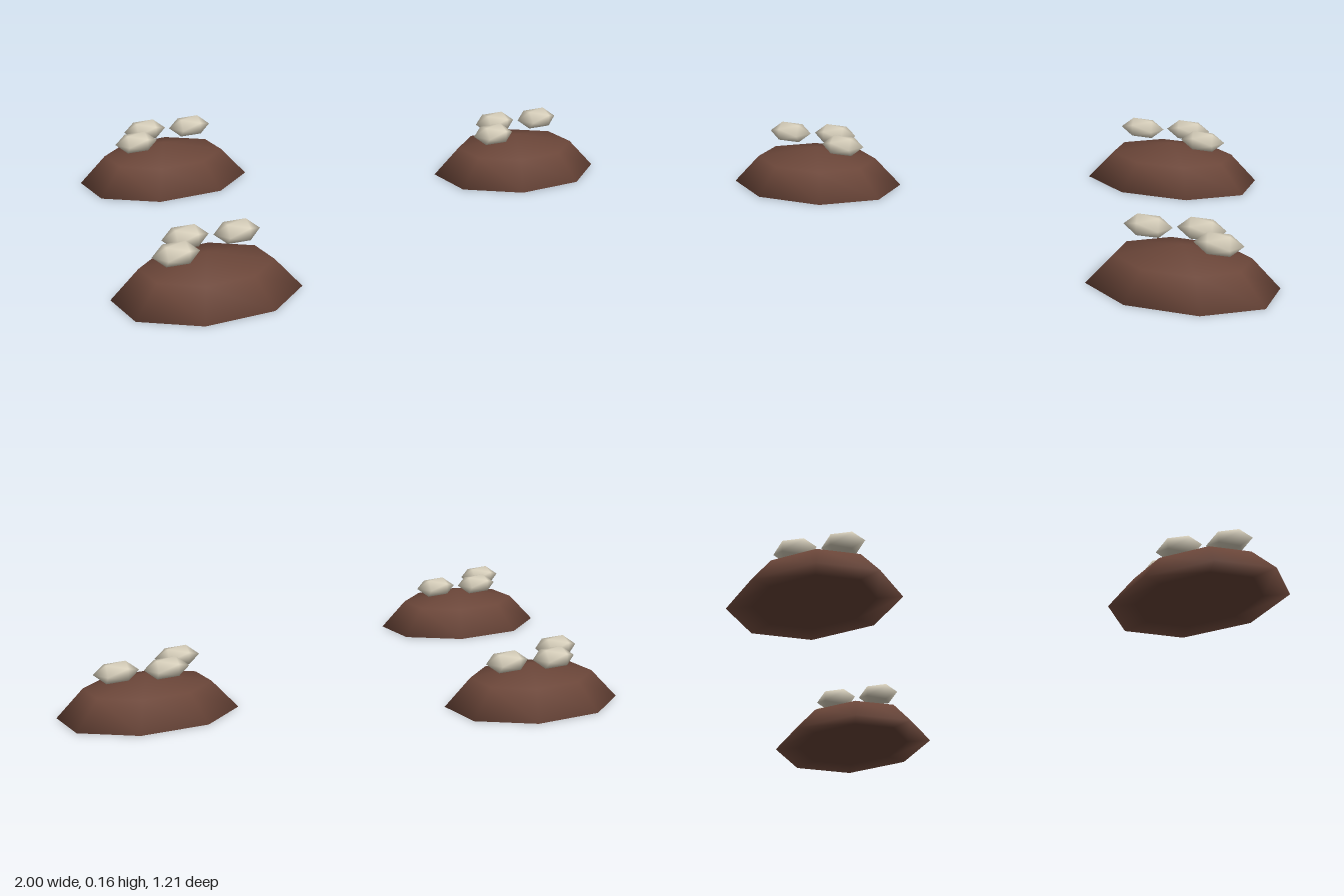
import * as THREE from 'three';
import { mergeVertices } from 'three/addons/utils/BufferGeometryUtils.js';

// Weld shared corners so the low-poly shape shades smoothly
function smooth(geometry) {
  geometry.deleteAttribute('normal');
  geometry.deleteAttribute('uv');
  const welded = mergeVertices(geometry, 1e-5);
  welded.computeVertexNormals();
  return welded;
}

// Eight-sided dome: an ellipsoid with its lower half pressed flat onto the ground
function moundGeometry() {
  const g = new THREE.SphereGeometry(1, 8, 4).scale(0.275, 0.11, 0.22);
  const p = g.attributes.position;
  for (let i = 0; i < p.count; i++) p.setY(i, Math.max(0, p.getY(i)));
  return smooth(g);
}

export function createModel() {
  const soil = new THREE.MeshStandardMaterial({ color: 0x6b4639 });
  soil.name = 'brown soil';
  const cream = new THREE.MeshStandardMaterial({ color: 0xd8d0bc });
  cream.name = 'cream';

  const mound = moundGeometry();
  // Flattened twenty-sided pebble
  const pebble = smooth(new THREE.IcosahedronGeometry(1, 0)).scale(0.0705, 0.03, 0.0535);

  const model = new THREE.Group();
  model.name = 'mounds';

  // Three mounds in a triangle, each topped with three pebbles
  [[-0.725, 0.385], [0.725, 0.385], [0, -0.385]].forEach(([x, z], i) => {
    const group = new THREE.Group();
    group.name = `moundGroup${i + 1}`;
    group.position.set(x, 0, z);

    const base = new THREE.Mesh(mound, soil);
    base.name = 'mound';
    group.add(base);

    [[-0.12, 0], [0, -0.072], [0.12, 0]].forEach(([px, pz], j) => {
      const stone = new THREE.Mesh(pebble, cream);
      stone.name = `pebble${j + 1}`;
      stone.position.set(px, 0.135, pz);
      group.add(stone);
    });
    model.add(group);
  });
  return model;
}
